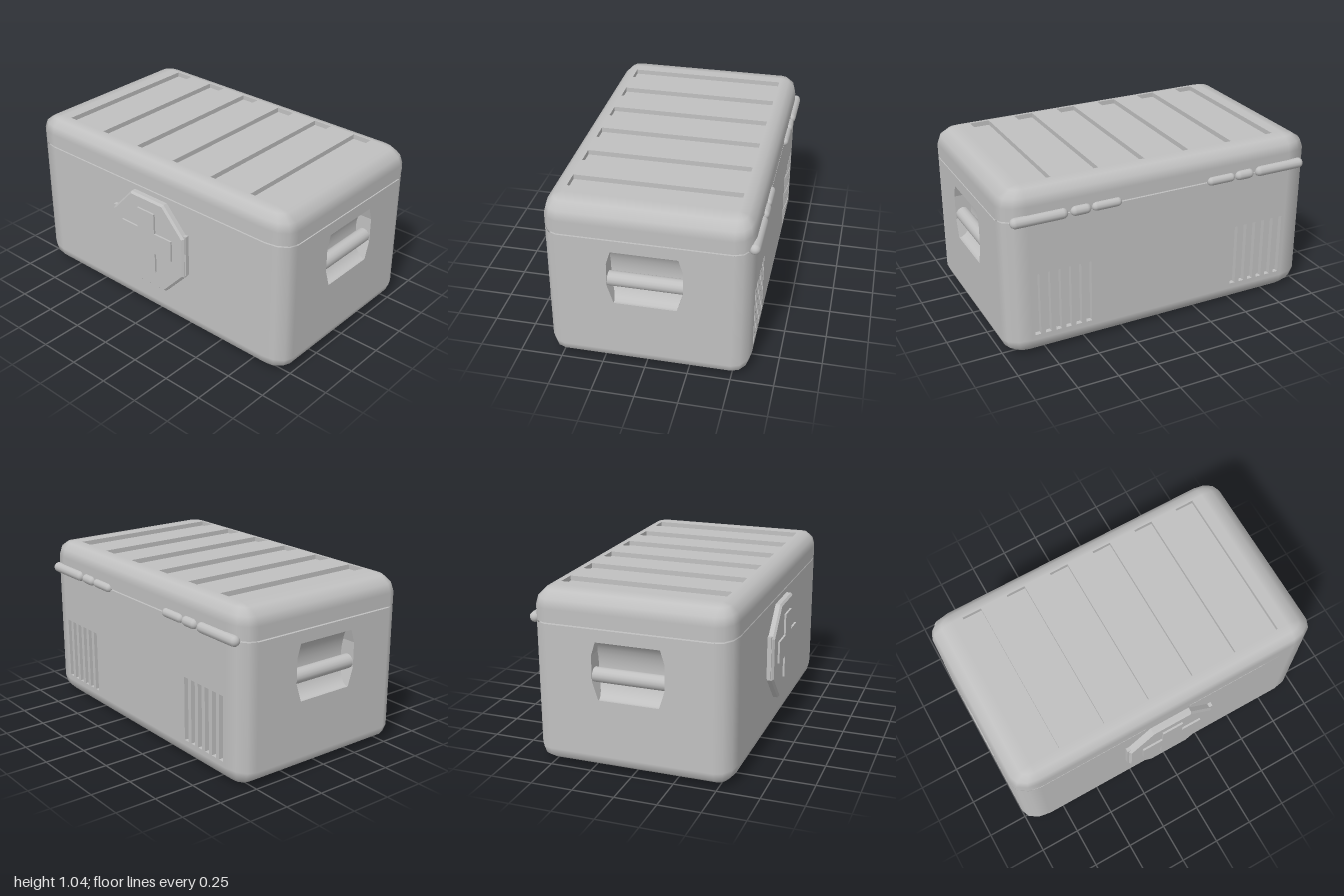
import * as THREE from 'three';

const grey = new THREE.MeshStandardMaterial({ color: 0xc0c0c0, side: THREE.DoubleSide });
grey.name = 'grey plastic';

const ZC = -0.01;             // depth centre of the case
const HX = 0.85, HZ = 0.49;   // half size of the flat areas
const RX = 0.15, RZ = 0.1, RY = 0.1; // edge rounding
const STEPS = 3;

function add(parent, name, geometry, x = 0, y = 0, z = 0) {
  const mesh = new THREE.Mesh(geometry, grey);
  mesh.name = name;
  mesh.position.set(x, y, z);
  parent.add(mesh);
  return mesh;
}

// Rounded-rectangle rings [elevation, y] joined upward; open(row, side) leaves out flat walls
function loft(rings, open = () => false) {
  const pos = [], nor = [], index = [], count = 4 * (STEPS + 1);
  for (const [e, y] of rings) {
    for (let c = 0; c < 4; c++) {
      const sx = c === 0 || c === 3 ? 1 : -1, sz = c < 2 ? 1 : -1;
      for (let j = 0; j <= STEPS; j++) {
        const a = (c + j / STEPS) * Math.PI / 2, k = Math.cos(e);
        pos.push(sx * HX + RX * k * Math.cos(a), y, ZC + sz * HZ + RZ * k * Math.sin(a));
        nor.push(k * Math.cos(a), Math.sin(e), k * Math.sin(a));
      }
    }
  }
  for (let i = 0; i < rings.length - 1; i++) {
    for (let j = 0; j < count; j++) {
      const side = Math.floor(j / (STEPS + 1));
      if (j % (STEPS + 1) === STEPS && open(i, side)) continue;
      const next = (j + 1) % count;
      const a = i * count + j, c = i * count + next, b = a + count, d = c + count;
      index.push(a, b, c, c, b, d);
    }
  }
  const g = new THREE.BufferGeometry();
  g.setAttribute('position', new THREE.Float32BufferAttribute(pos, 3));
  g.setAttribute('normal', new THREE.Float32BufferAttribute(nor, 3));
  g.setIndex(index);
  return g;
}

const toPoints = list => list.map(([x, y]) => new THREE.Vector2(x, y));
const rect = (x, y, hw, hh) => toPoints([[x - hw, y - hh], [x + hw, y - hh], [x + hw, y + hh], [x - hw, y + hh]]);

// Flat wall facing local +z with recesses cut into it
function panel(name, hw, hh, holes, depth) {
  const group = new THREE.Group();
  group.name = name;
  const shape = new THREE.Shape(rect(0, 0, hw, hh));
  shape.holes = holes.map(h => new THREE.Path(h));
  const wall = new THREE.ExtrudeGeometry(shape, { depth, bevelEnabled: false });
  add(group, name + 'Wall', wall.translate(0, 0, -depth));
  add(group, name + 'Floor', new THREE.PlaneGeometry(hw * 2, hh * 2), 0, 0, -depth + 0.001);
  return group;
}

function extrude(list, depth, bevel = 0) {
  return new THREE.ExtrudeGeometry(new THREE.Shape(toPoints(list)), {
    depth: depth - bevel, bevelEnabled: bevel > 0, bevelSize: bevel, bevelOffset: -bevel,
    bevelThickness: bevel, bevelSegments: 1,
  });
}

export function createModel() {
  const model = new THREE.Group();
  model.name = 'firstAidCase';

  // Body and lid shells with a narrow seam between them
  const bodyRings = [], lidRings = [[0, 0.861]];
  for (let i = 0; i <= STEPS; i++) {
    const e = i / STEPS * Math.PI / 2;
    bodyRings.push([e - Math.PI / 2, RY - RY * Math.cos(e)]);
    lidRings.push([e, 0.94 + RY * Math.sin(e)]);
  }
  bodyRings.push([0, 0.853]);
  add(model, 'body', loft(bodyRings, (row, side) => row === STEPS && side !== 0));
  add(model, 'lid', loft(lidRings));
  const inset = Math.acos(0.9);
  add(model, 'seam', loft([[inset, 0.84], [inset, 0.88]]));

  // Grooved top and bottom
  const grooves = [];
  for (let i = 0; i < 6; i++) grooves.push(rect(-0.727 + 0.29 * i, 0, 0.06, 0.485));
  for (const [name, y, turn] of [['top', 1.04, -1], ['bottom', 0, 1]]) {
    const p = panel(name, HX, HZ, grooves, 0.03);
    p.rotation.x = turn * Math.PI / 2;
    p.position.set(0, y, ZC);
    model.add(p);
  }

  // Back wall with two banks of vertical slots
  const slots = [];
  const wallY = (0.1 + 0.853) / 2, wallH = (0.853 - 0.1) / 2;
  for (const s of [-1, 1]) {
    for (let i = 0; i < 6; i++) slots.push(rect(s * (0.49 + 0.064 * i), 0.325 - wallY, 0.018, 0.195));
  }
  const back = panel('back', HX, wallH, slots, 0.03);
  back.rotation.y = Math.PI;
  back.position.set(0, wallY, ZC - HZ - RZ);
  model.add(back);

  // End walls with a scooped recess and a grip bar
  for (const s of [-1, 1]) {
    const hy = 0.61 - wallY;
    const hole = toPoints([[-0.18, -0.17], [0.18, -0.17], [0.215, -0.06], [0.215, 0.09],
      [0.19, 0.17], [-0.19, 0.17], [-0.215, 0.09], [-0.215, -0.06]]);
    hole.forEach(p => { p.y += hy; });
    const end = panel(s > 0 ? 'leftEnd' : 'rightEnd', HZ, wallH, [hole], 0.11);
    const scoop = new THREE.CylinderGeometry(1, 1, 0.46, 14, 1, true, Math.PI / 2, Math.PI);
    add(end, 'handleScoop', scoop.rotateZ(Math.PI / 2).scale(1, 0.172, 0.1), 0, hy, 0);
    const bar = new THREE.CylinderGeometry(0.043, 0.043, 0.43, 16);
    add(end, 'handleBar', bar.rotateZ(Math.PI / 2), 0, 0.577 - wallY, -0.046);
    end.rotation.y = s * Math.PI / 2;
    end.position.set(s, wallY, ZC);
    model.add(end);
  }

  // Front badge: octagon, side tabs and raised cross
  const o = 0.287, q = 0.13, h = 0.298;
  add(model, 'badge', extrude([[-q, -h], [q, -h], [o, -q], [o, q], [q, h], [-q, h], [-o, q], [-o, -q]], 0.045, 0.012),
    0, 0.524, 0.575);
  for (const s of [-1, 1]) {
    add(model, 'badgeTab', new THREE.BoxGeometry(0.03, 0.265, 0.03), s * 0.281, 0.537, 0.59);
  }
  const t = 0.068, r = 0.2;
  add(model, 'cross', extrude([[-t, -r], [t, -r], [t, -t], [r, -t], [r, t], [t, t],
    [t, r], [-t, r], [-t, t], [-r, t], [-r, -t], [-t, -t]], 0.03), 0, 0.543, 0.602);

  // Hinge knuckles along the back seam
  for (const s of [-1, 1]) {
    for (const [x0, x1, radius] of [[0.61, 0.95, 0.032], [0.47, 0.595, 0.03], [0.28, 0.465, 0.027]]) {
      const knuckle = new THREE.CapsuleGeometry(radius, x1 - x0 - 2 * radius, 4, 12);
      add(model, 'hingeKnuckle', knuckle.rotateZ(Math.PI / 2), s * (x0 + x1) / 2, 0.86, -0.598);
    }
  }
  return model;
}
